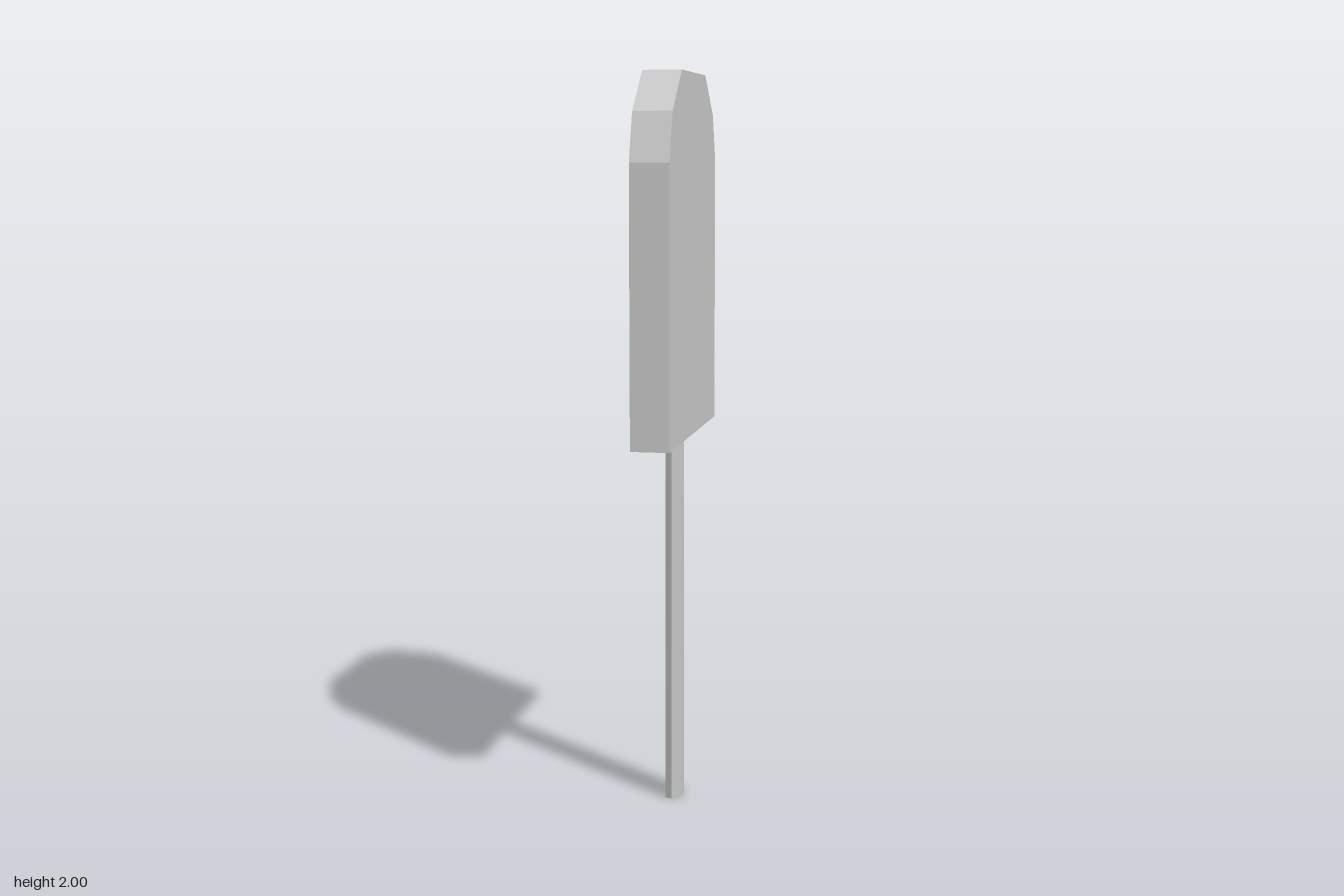
import * as THREE from 'three';

// Extrudes a mirrored half outline [across, along] to a given depth, centred on the extrusion axis
function slab(name, half, depth, material) {
  const mirrored = half.map(([a, b]) => [-a, b]).reverse();
  const shape = new THREE.Shape([...half, ...mirrored].map(([a, b]) => new THREE.Vector2(a, b)));
  const geometry = new THREE.ExtrudeGeometry(shape, { depth, bevelEnabled: false });
  geometry.translate(0, 0, -depth / 2);
  const mesh = new THREE.Mesh(geometry, material);
  mesh.name = name;
  return mesh;
}

export function createModel() {
  const group = new THREE.Group();
  group.name = 'icePop';
  const material = new THREE.MeshStandardMaterial({ color: 0xcccccc, flatShading: true });

  // Flat slab with a faceted round top, its broad faces towards +x and -x
  const icePop = slab('iceBar', [[0.342, 1.03], [0.342, 1.765], [0.3, 1.893], [0.175, 2]], 0.104, material);
  icePop.rotation.y = Math.PI / 2;
  group.add(icePop);

  // Flattened eight-sided stick, its top against the slab
  const height = 1.03;
  const section = [[0, -0.025], [0.043, -0.018], [0.051, 0], [0.043, 0.018], [0, 0.025]];
  const outline = [...section, ...section.slice(1, -1).reverse().map(([z, x]) => [-z, x])];
  const shape = new THREE.Shape(outline.map(([z, x]) => new THREE.Vector2(x, z)).reverse());
  const geometry = new THREE.ExtrudeGeometry(shape, { depth: height, bevelEnabled: false });
  geometry.rotateX(-Math.PI / 2);
  const stick = new THREE.Mesh(geometry, material);
  stick.name = 'stick';
  group.add(stick);

  return group;
}
